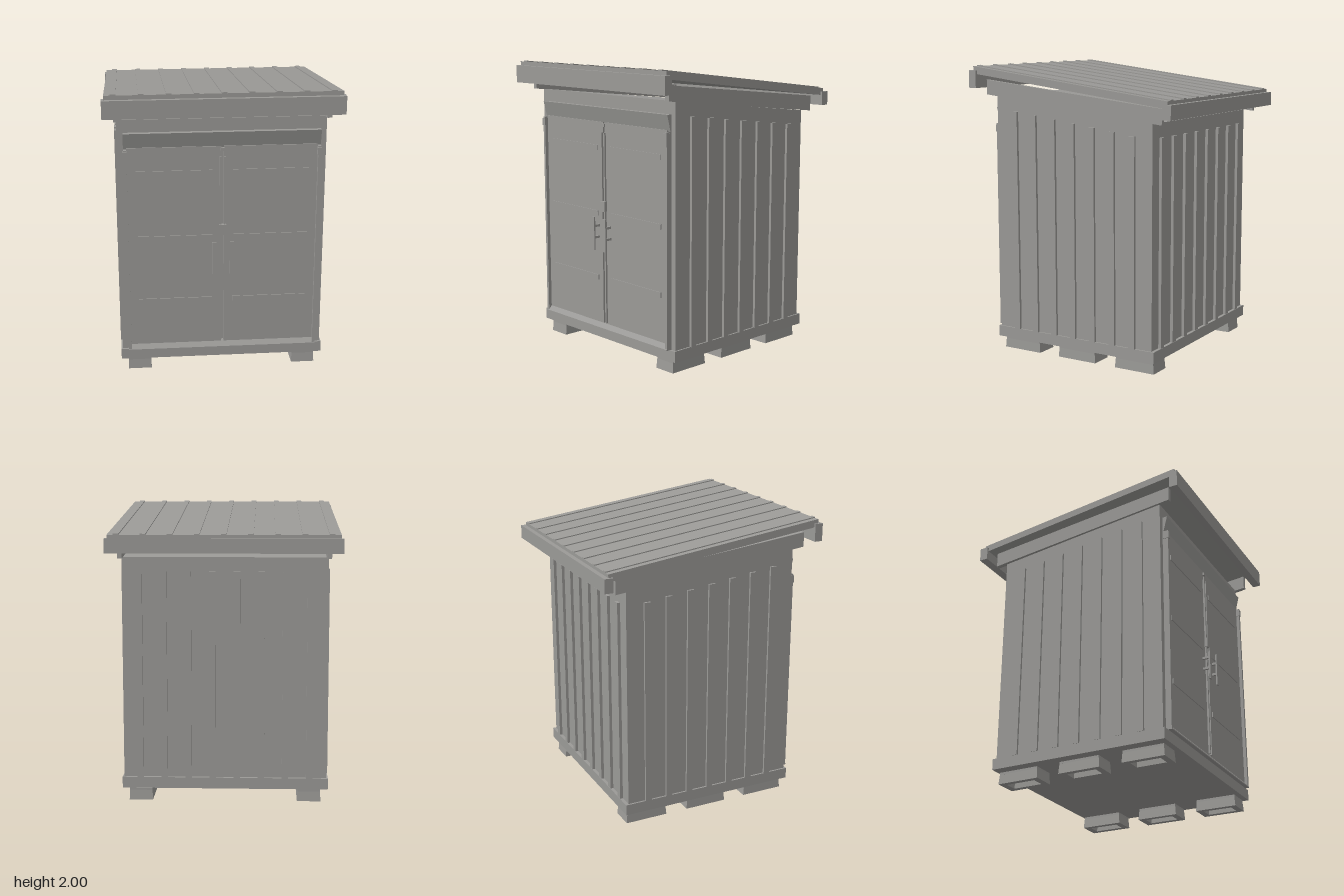
import * as THREE from 'three';

export function createModel() {
  const shed = new THREE.Group();
  shed.name = 'shed';
  const grey = new THREE.MeshStandardMaterial({ color: 0x9b9a97 });
  grey.name = 'grey';

  function add(name, geometry) {
    const mesh = new THREE.Mesh(geometry, grey);
    mesh.name = name;
    shed.add(mesh);
    return mesh;
  }
  // Box given by its lower and upper limits
  function box(name, x0, x1, y0, y1, z0, z1) {
    const g = new THREE.BoxGeometry(x1 - x0, y1 - y0, z1 - z0);
    g.translate((x0 + x1) / 2, (y0 + y1) / 2, (z0 + z1) / 2);
    return add(name, g);
  }
  // Side profile of [z, y] points, extruded from x0 to x1
  function prism(name, profile, x0, x1) {
    const shape = new THREE.Shape(profile.map(([z, y]) => new THREE.Vector2(z, y)));
    const g = new THREE.ExtrudeGeometry(shape, { depth: x1 - x0, bevelEnabled: false });
    g.translate(0, 0, -x1);
    g.rotateY(-Math.PI / 2);
    return add(name, g);
  }

  // Hollow, slightly tapered feet: four rim walls under a lid
  for (const s of [-1, 1]) {
    for (const z of [-0.457, 0, 0.457]) {
      const outer = new THREE.Shape();
      outer.moveTo(-0.08, -0.15).lineTo(0.08, -0.15).lineTo(0.08, 0.15).lineTo(-0.08, 0.15).closePath();
      const hole = new THREE.Path();
      hole.moveTo(-0.045, -0.105).lineTo(-0.045, 0.105).lineTo(0.045, 0.105).lineTo(0.045, -0.105).closePath();
      outer.holes.push(hole);
      const g = new THREE.ExtrudeGeometry(outer, { depth: 0.07, bevelEnabled: false });
      g.rotateX(-Math.PI / 2);
      const p = g.attributes.position;
      for (let i = 0; i < p.count; i++) {
        const k = 1 - 0.6 * p.getY(i);
        p.setXYZ(i, p.getX(i) * k, p.getY(i) + 0.005, p.getZ(i) * k);
      }
      g.translate(s * 0.57, -0.005, z);
      g.computeVertexNormals();
      add('footRim', g);
      box('footLid', s * 0.57 - 0.077, s * 0.57 + 0.077, 0.065, 0.08, z - 0.144, z + 0.144);
    }
  }

  // Floor and sloping body
  box('floor', -0.697, 0.693, 0.09, 0.165, -0.63, 0.63);
  prism('walls', [[-0.608, 0.165], [0.615, 0.165], [0.615, 1.795], [-0.608, 1.655]], -0.685, 0.682);

  // Vertical ribs on the sides and back
  for (let i = 0; i < 7; i++) {
    const z = (3 - i) * 0.1545;
    for (const s of [-1, 1]) {
      const x = s * 0.689;
      box('sideRib', x - 0.011, x + 0.011, 0.165, 1.63 + 0.128 * z, z - 0.022, z + 0.022);
    }
  }
  for (let i = 0; i < 8; i++) {
    const x = (i - 3.5) * 0.163;
    box('backRib', x - 0.022, x + 0.022, 0.165, 1.56, -0.628, -0.6);
  }

  // Rafters beside the walls, with a gap below the roof
  for (const s of [-1, 1]) {
    prism('rafter', [[-0.685, 1.65], [0.69, 1.8], [0.69, 1.9], [-0.685, 1.755]],
      s * 0.685 - 0.016, s * 0.685 + 0.016);
  }

  // Roof sheet with raised seams, and eave boards
  const roofTop = z => 1.9 + 0.1225 * z;
  const slope = (z0, z1, low, high) =>
    [[z0, roofTop(z0) + low], [z1, roofTop(z1) + low], [z1, roofTop(z1) + high], [z0, roofTop(z0) + high]];
  prism('roof', slope(-0.755, 0.76, -0.05, 0), -0.757, 0.757);
  for (let i = -4; i <= 4; i++) {
    prism('roofSeam', slope(-0.755, 0.76, -0.005, 0.007), i * 0.1745 - 0.018, i * 0.1745 + 0.018);
  }
  box('frontFascia', -0.772, 0.772, 1.845, 1.965, 0.73, 0.787);
  box('backFascia', -0.772, 0.772, 1.69, 1.785, -0.787, -0.727);

  // Door surround: stiles, hinges, sloped header and sill
  for (const s of [-1, 1]) {
    const x = s * 0.635;
    box('doorStile', x - 0.01, x + 0.01, 0.165, 1.6, 0.61, 0.655);
    box('hinge', x - 0.014, x + 0.012, 1.54, 1.59, 0.61, 0.66);
  }
  prism('header', [[0.61, 1.6], [0.622, 1.6], [0.65, 1.71], [0.61, 1.71]], -0.645, 0.645);
  prism('sill', [[0.61, 0.165], [0.658, 0.165], [0.658, 0.172], [0.625, 0.21], [0.61, 0.21]], -0.645, 0.645);

  // Double doors with rails, meeting strips and handles
  for (const s of [-1, 1]) {
    const side = (name, a, b, y0, y1, z0, z1) =>
      box(name, Math.min(s * a, s * b), Math.max(s * a, s * b), y0, y1, z0, z1);
    side('door', 0.008, 0.625, 0.2, 1.61, 0.61, 0.632);
    side('meetingStrip', 0.008, 0.02, 0.21, 1.54, 0.62, 0.645);
    for (const y of [0.523, 0.978, 1.433]) side('doorRail', 0.068, 0.568, y - 0.018, y + 0.018, 0.63, 0.638);
    side('handle', 0.045, 0.073, 0.73, 0.96, 0.68, 0.69);
    for (const y of [0.815, 0.895]) side('handleMount', 0.052, 0.066, y - 0.008, y + 0.008, 0.63, 0.682);
  }
  box('latch', -0.024, 0.024, 1.0, 1.07, 0.63, 0.655);
  box('doorStop', -0.013, 0.013, 1.58, 1.6, 0.625, 0.642);

  return shed;
}
